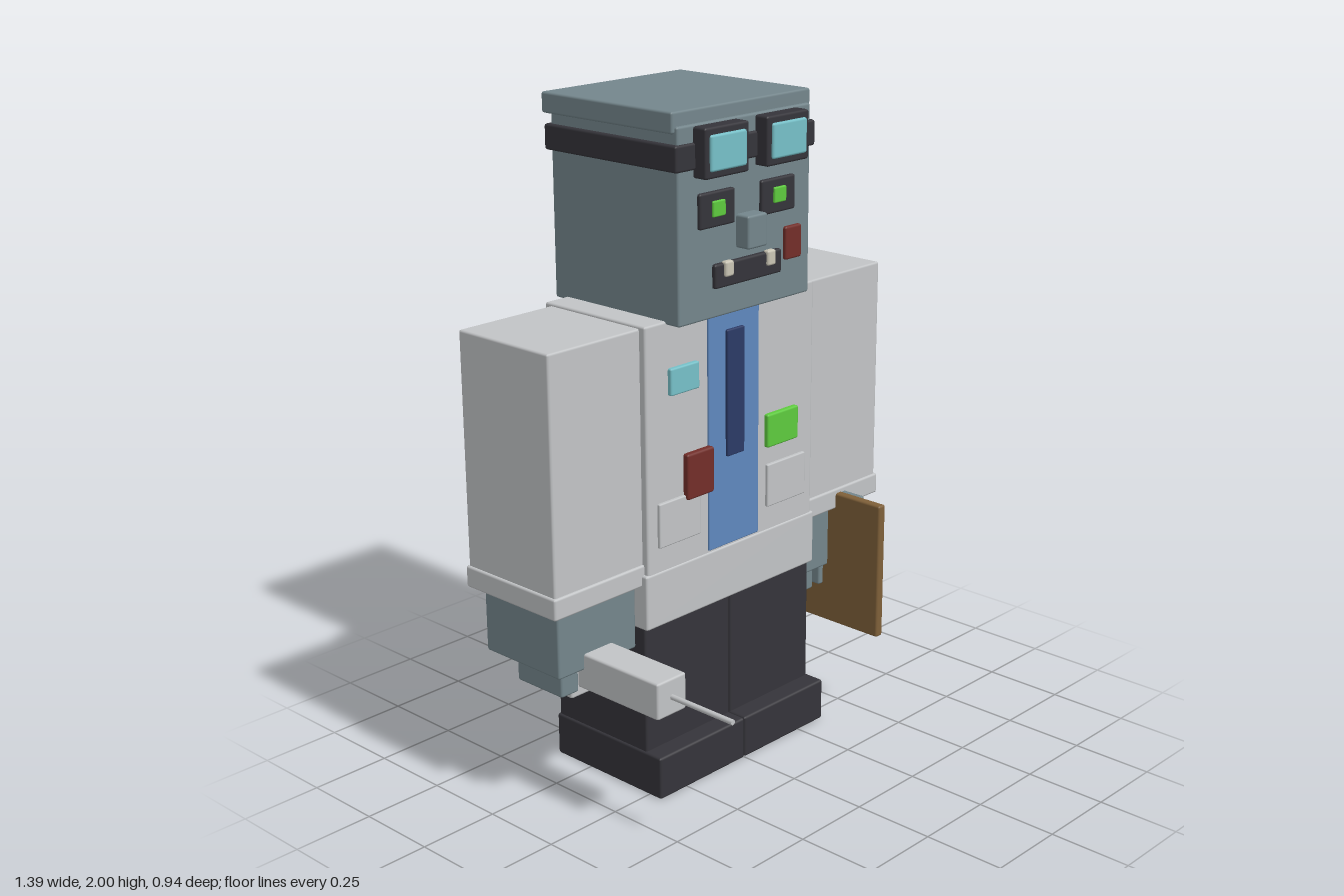
import * as THREE from 'three';
import { RoundedBoxGeometry } from 'three/addons/geometries/RoundedBoxGeometry.js';

const mat = (name, color) => {
  const m = new THREE.MeshStandardMaterial({ color });
  m.name = name;
  return m;
};

export function createModel() {
  const skin = mat('greySkin', 0x74868c);
  const coat = mat('coatGrey', 0xc2c4c6);
  const dark = mat('charcoal', 0x35343a);
  const glass = mat('cyanGlass', 0x76c0c8);
  const green = mat('green', 0x5ecb3e);
  const red = mat('driedRed', 0x732e29);
  const paper = mat('paper', 0xcac5b5);
  const blue = mat('shirtBlue', 0x5f88be);
  const navy = mat('tieNavy', 0x2b3a66);
  const wood = mat('wood', 0x7f6039);

  const model = new THREE.Group();
  const section = (name) => {
    const g = new THREE.Group();
    g.name = name;
    model.add(g);
    return g;
  };

  // Slightly bevelled block given by its extents
  const block = (parent, name, material, [x0, x1], [y0, y1], [z0, z1]) => {
    const w = x1 - x0, h = y1 - y0, d = z1 - z0;
    const r = Math.min(0.007, 0.3 * Math.min(w, h, d));
    const mesh = new THREE.Mesh(new RoundedBoxGeometry(w, h, d, 1, r), material);
    mesh.position.set((x0 + x1) / 2, (y0 + y1) / 2, (z0 + z1) / 2);
    mesh.name = name;
    parent.add(mesh);
  };
  // Same block on both sides of x = 0
  const pair = (parent, name, material, [x0, x1], y, z) => {
    block(parent, name + 'Left', material, [x0, x1], y, z);
    block(parent, name + 'Right', material, [-x1, -x0], y, z);
  };

  // Head, headband and goggles
  const head = section('head');
  block(head, 'skull', skin, [-0.27, 0.27], [1.41, 1.96], [-0.445, 0.05]);
  block(head, 'crown', skin, [-0.28, 0.28], [1.94, 2.0], [-0.472, 0.04]);
  block(head, 'headband', dark, [-0.283, 0.283], [1.838, 1.912], [-0.46, 0.058]);
  pair(head, 'goggleFrame', dark, [0.037, 0.21], [1.815, 1.955], [0.045, 0.097]);
  pair(head, 'goggleLens', glass, [0.053, 0.195], [1.835, 1.935], [0.08, 0.105]);

  // Face
  pair(head, 'eyeSocket', dark, [0.055, 0.195], [1.67, 1.77], [0.04, 0.062]);
  pair(head, 'pupil', green, [0.1, 0.15], [1.7, 1.745], [0.055, 0.069]);
  block(head, 'nose', skin, [-0.04, 0.04], [1.595, 1.69], [0.04, 0.097]);
  block(head, 'mouth', dark, [-0.137, 0.137], [1.495, 1.565], [0.04, 0.064]);
  pair(head, 'tooth', paper, [0.07, 0.104], [1.525, 1.57], [0.05, 0.073]);
  block(head, 'cheekWound', red, [0.157, 0.225], [1.525, 1.622], [0.04, 0.062]);

  // Coat, shirt and chest details
  const torso = section('torso');
  block(torso, 'coatBody', coat, [-0.352, 0.352], [0.67, 1.42], [-0.4, 0]);
  block(torso, 'coatHem', coat, [-0.362, 0.362], [0.522, 0.69], [-0.404, 0.004]);
  block(torso, 'shirt', blue, [-0.106, 0.106], [0.695, 1.412], [-0.006, 0.006]);
  block(torso, 'tie', navy, [-0.036, 0.036], [0.97, 1.35], [0, 0.015]);
  pair(torso, 'pocket', coat, [0.143, 0.312], [0.763, 0.897], [-0.005, 0.01]);
  block(torso, 'badge', glass, [-0.265, -0.15], [1.205, 1.285], [-0.005, 0.014]);
  block(torso, 'coatStain', red, [-0.206, -0.097], [0.882, 1.02], [-0.005, 0.02]);
  block(torso, 'greenStain', green, [0.137, 0.273], [0.952, 1.055], [-0.005, 0.016]);

  // Arms, cuffs, hands and fingers
  const arms = section('arms');
  pair(arms, 'sleeve', coat, [0.345, 0.688], [0.66, 1.412], [-0.38, -0.022]);
  pair(arms, 'cuff', coat, [0.34, 0.695], [0.655, 0.72], [-0.386, -0.015]);
  pair(arms, 'hand', skin, [0.36, 0.66], [0.458, 0.67], [-0.35, -0.045]);
  for (const x of [0.41, 0.505, 0.603]) {
    pair(arms, 'finger', skin, [x - 0.033, x + 0.033], [0.388, 0.47], [-0.248, -0.063]);
  }

  // Trousers and shoes
  const legs = section('legs');
  pair(legs, 'trouserLeg', dark, [0.002, 0.356], [0.12, 0.535], [-0.385, -0.012]);
  pair(legs, 'shoe', dark, [0.001, 0.362], [0, 0.133], [-0.39, 0.05]);

  // Syringe in the right hand
  const syringe = section('syringe');
  block(syringe, 'barrel', coat, [-0.565, -0.453], [0.397, 0.507], [-0.08, 0.245]);
  block(syringe, 'fingerFlange', coat, [-0.592, -0.426], [0.368, 0.536], [-0.1, -0.07]);
  const needle = new THREE.Mesh(new THREE.CylinderGeometry(0.008, 0.008, 0.24, 8), coat);
  needle.name = 'needle';
  needle.rotation.x = Math.PI / 2;
  needle.position.set(-0.509, 0.452, 0.352);
  syringe.add(needle);

  // Clipboard in the left hand
  const clipboard = section('clipboard');
  block(clipboard, 'board', wood, [0.49, 0.52], [0.267, 0.706], [-0.173, 0.16]);
  block(clipboard, 'sheet', paper, [0.515, 0.529], [0.282, 0.66], [-0.152, 0.132]);
  block(clipboard, 'clip', skin, [0.512, 0.54], [0.668, 0.704], [-0.075, 0.06]);

  return model;
}
